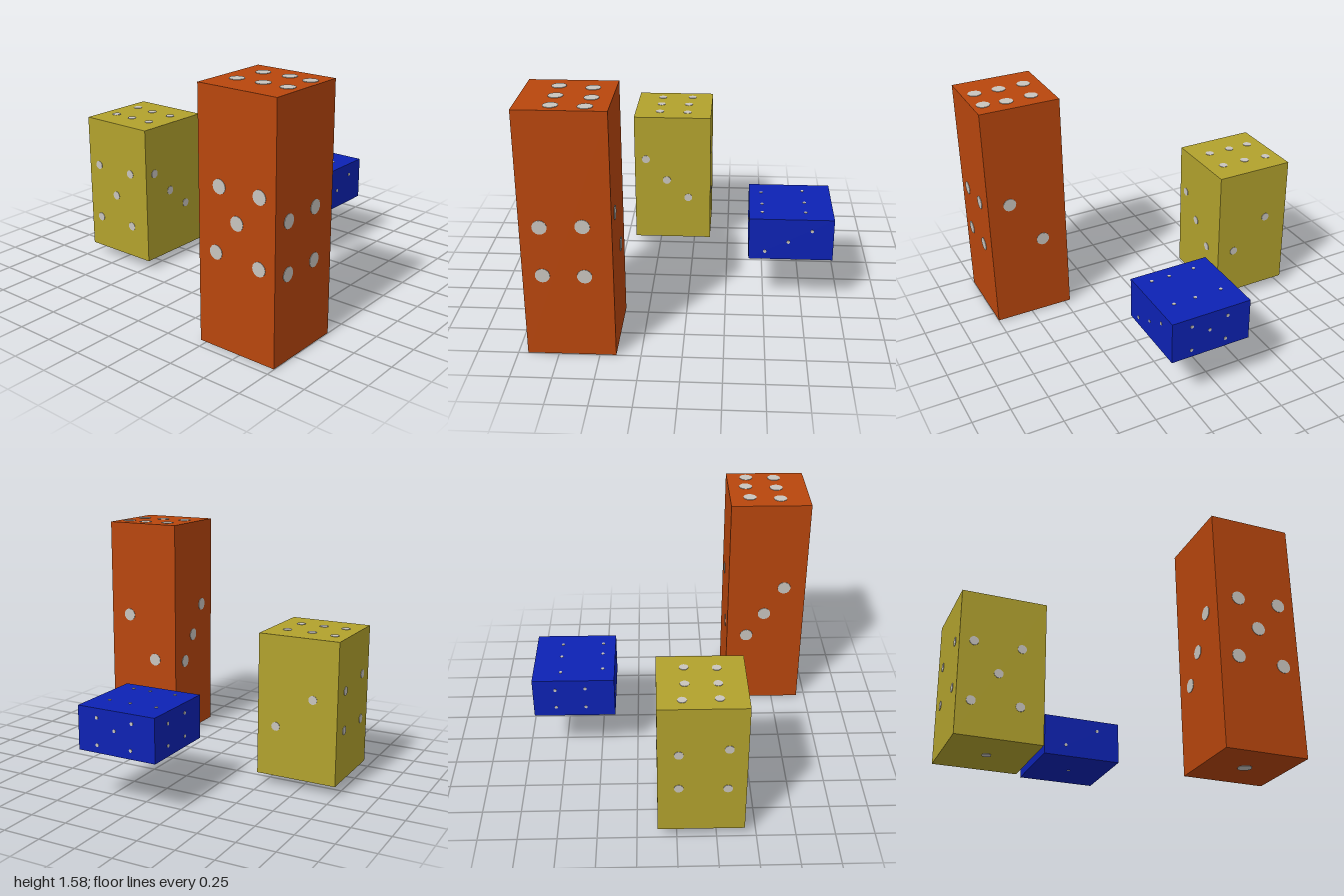
import * as THREE from 'three';

const material = (name, color) => {
  const m = new THREE.MeshStandardMaterial({ color });
  m.name = name;
  return m;
};

// Rotation that turns a disc's +y axis towards each face, and how (u, v) on that face maps to a position.
// Front and back use (x, y), right and left (z, y), top and bottom (x, z).
const faces = {
  front: { normal: [0, 0, 1], at: (u, v, b) => [u, v, b.max[2]] },
  back: { normal: [0, 0, -1], at: (u, v, b) => [u, v, b.min[2]] },
  right: { normal: [1, 0, 0], at: (u, v, b) => [b.max[0], v, u] },
  left: { normal: [-1, 0, 0], at: (u, v, b) => [b.min[0], v, u] },
  top: { normal: [0, 1, 0], at: (u, v, b) => [u, b.max[1], v] },
  bottom: { normal: [0, -1, 0], at: (u, v, b) => [u, b.min[1], v] },
};

const dice = [
  {
    name: 'tallRedDie', color: 'red', min: [-0.94, 0, 0.46], max: [-0.4, 1.57, 1], radius: 0.045,
    pips: {
      front: [[-0.82, 0.855], [-0.57, 0.865], [-0.82, 0.54], [-0.57, 0.54]],
      back: [[-0.54, 0.55], [-0.66, 0.73], [-0.79, 0.94]],
      right: [[0.85, 0.89], [0.635, 0.57]],
      left: [[0.61, 1], [0.89, 1], [0.735, 0.81], [0.585, 0.6], [0.89, 0.58]],
      top: [[-0.74, 0.575], [-0.535, 0.6], [-0.73, 0.75], [-0.52, 0.775], [-0.73, 0.915], [-0.535, 0.925]],
      bottom: [[-0.67, 0.73]],
    },
  },
  {
    name: 'yellowDie', color: 'yellow', min: [-0.425, 0.065, -1], max: [0.12, 1, -0.46], radius: 0.029,
    pips: {
      front: [[-0.345, 0.68], [-0.195, 0.52], [-0.04, 0.385]],
      back: [[-0.01, 0.66], [-0.31, 0.7], [-0.01, 0.4], [-0.31, 0.395]],
      right: [[-0.835, 0.61], [-0.585, 0.4]],
      left: [[-0.91, 0.67], [-0.61, 0.665], [-0.75, 0.48], [-0.91, 0.285], [-0.61, 0.285]],
      top: [[-0.25, -0.9], [-0.03, -0.91], [-0.25, -0.75], [-0.05, -0.75], [-0.25, -0.59], [-0.05, -0.58]],
      bottom: [[-0.15, -0.73]],
    },
  },
  {
    name: 'flatBlueDie', color: 'blue', min: [0.395, 0.34, -0.185], max: [0.94, 0.625, 0.36], radius: 0.011,
    pips: {
      front: [[0.5, 0.395], [0.65, 0.465], [0.8, 0.545]],
      back: [[0.59, 0.56], [0.79, 0.55], [0.59, 0.41], [0.79, 0.41]],
      right: [[0.225, 0.565], [-0.025, 0.565], [0.1, 0.5], [0.225, 0.39], [-0.015, 0.395]],
      left: [[0.2, 0.55], [-0.03, 0.42]],
      top: [[0.475, -0.05], [0.755, -0.085], [0.48, 0.13], [0.76, 0.1], [0.48, 0.255], [0.76, 0.25]],
      bottom: [[0.67, 0.09]],
    },
  },
];

export function createModel() {
  const model = new THREE.Group();
  model.name = 'threeDice';
  const materials = {
    red: material('red', 0xb8460d),
    yellow: material('yellow', 0xb2a22d),
    blue: material('blue', 0x0d22b4),
  };
  const pipMaterial = material('pipGrey', 0xc8c4be);
  const up = new THREE.Vector3(0, 1, 0);

  for (const die of dice) {
    const group = new THREE.Group();
    group.name = die.name;

    // Body block
    const size = die.max.map((m, i) => m - die.min[i]);
    const body = new THREE.Mesh(new THREE.BoxGeometry(...size), materials[die.color]);
    body.name = 'body';
    body.position.set(...die.min.map((m, i) => m + size[i] / 2));
    group.add(body);

    // Pips: thin discs barely standing out of each face
    const disc = new THREE.CylinderGeometry(die.radius, die.radius, 0.006, 14);
    for (const [side, spots] of Object.entries(die.pips)) {
      const face = faces[side];
      for (const [u, v] of spots) {
        const pip = new THREE.Mesh(disc, pipMaterial);
        pip.name = side + 'Pip';
        pip.position.set(...face.at(u, v, die));
        pip.quaternion.setFromUnitVectors(up, new THREE.Vector3(...face.normal));
        group.add(pip);
      }
    }
    model.add(group);
  }
  return model;
}
